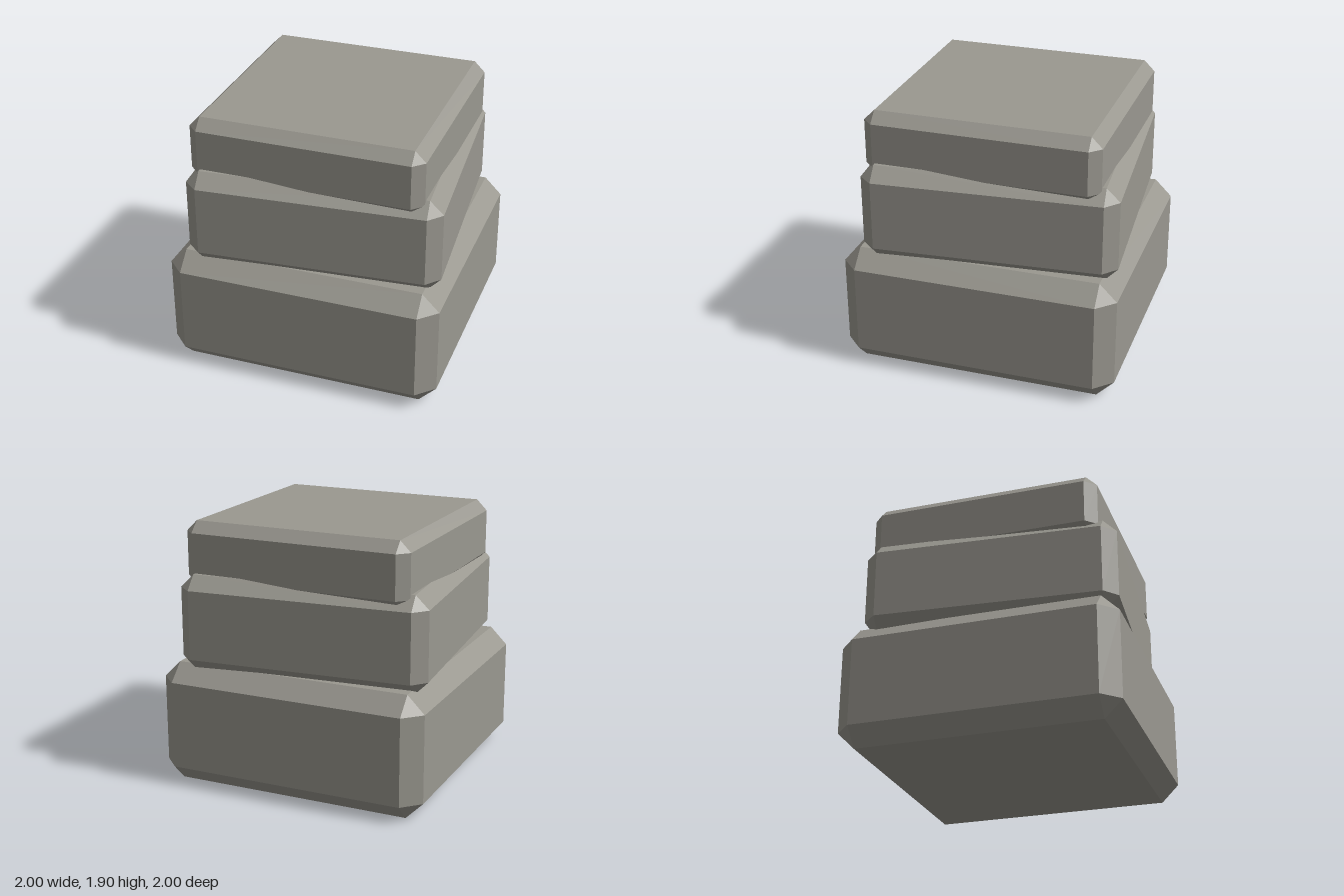
import * as THREE from 'three';
import { ConvexGeometry } from 'three/addons/geometries/ConvexGeometry.js';

// Block with every edge cut at 45 degrees and a triangle at every corner
function chamferedBlock(width, height, depth, cut) {
  const x = width / 2, y = height / 2, z = depth / 2;
  const points = [];
  for (const sx of [-1, 1]) for (const sy of [-1, 1]) for (const sz of [-1, 1]) {
    points.push(
      new THREE.Vector3(sx * x, sy * (y - cut), sz * (z - cut)),
      new THREE.Vector3(sx * (x - cut), sy * y, sz * (z - cut)),
      new THREE.Vector3(sx * (x - cut), sy * (y - cut), sz * z),
    );
  }
  return new ConvexGeometry(points);
}

export function createModel() {
  const model = new THREE.Group();
  model.name = 'stackedStones';

  const stone = new THREE.MeshStandardMaterial({ color: 0x9a9890 });
  stone.name = 'grey stone';

  // Stones from the ground up; the middle one is slightly turned
  const stones = [
    { name: 'bottomStone', size: 2, bottom: 0, top: 0.89, cut: 0.126, turn: 0 },
    { name: 'middleStone', size: 1.814, bottom: 0.847, top: 1.542, cut: 0.097, turn: 0.0785 },
    { name: 'topStone', size: 1.686, bottom: 1.43, top: 1.905, cut: 0.078, turn: 0 },
  ];
  for (const s of stones) {
    const mesh = new THREE.Mesh(chamferedBlock(s.size, s.top - s.bottom, s.size, s.cut), stone);
    mesh.name = s.name;
    mesh.position.y = (s.bottom + s.top) / 2;
    mesh.rotation.y = s.turn;
    model.add(mesh);
  }
  return model;
}
